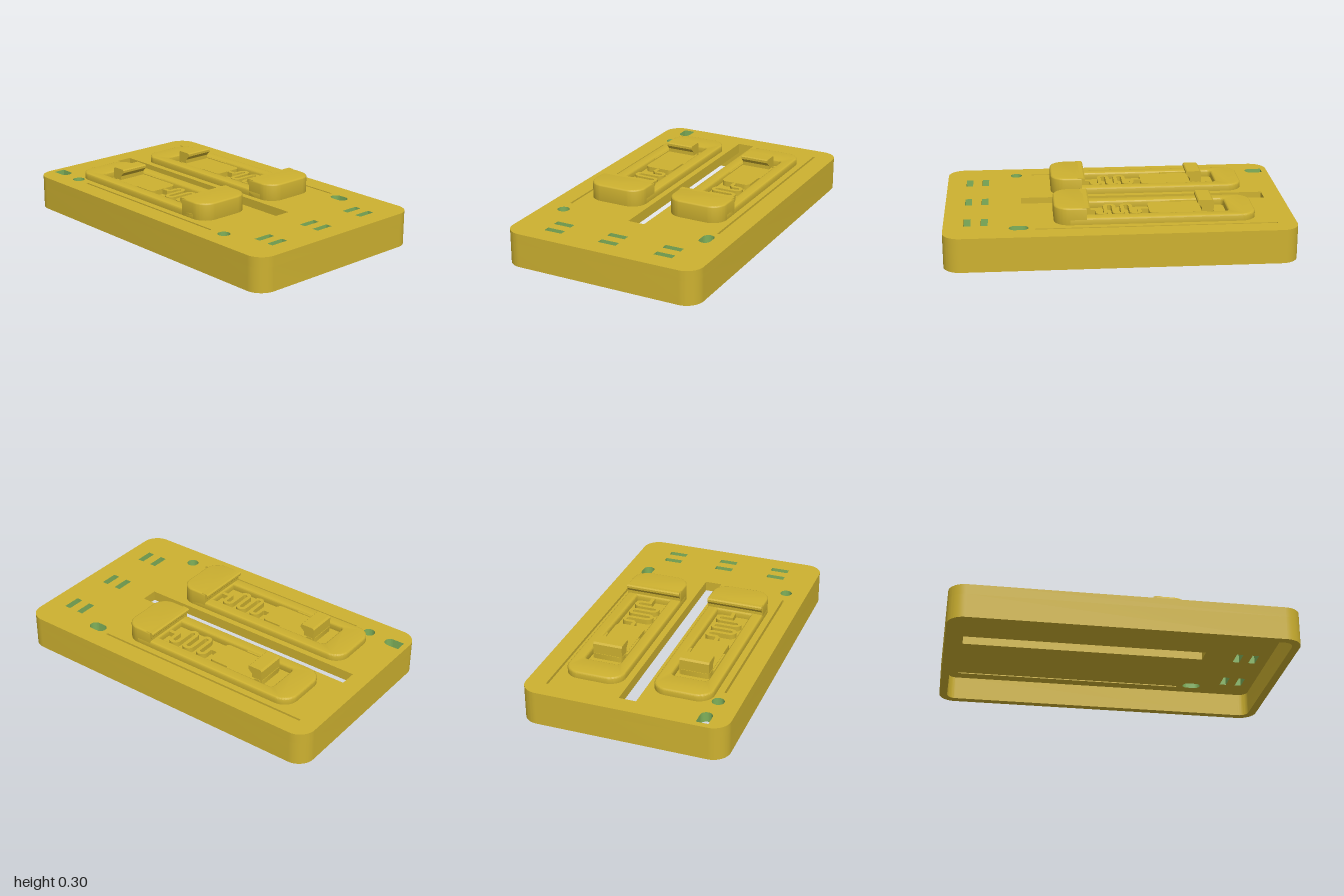
import * as THREE from 'three';
import { toCreasedNormals } from 'three/addons/utils/BufferGeometryUtils.js';

const mustard = new THREE.MeshStandardMaterial({ color: 0xcdb130 });
mustard.name = 'mustard';
const green = new THREE.MeshStandardMaterial({ color: 0x7fb05a });
green.name = 'green';

// Rounded rectangle in plan: x0..x1, z0..z1 (back to front), separate back and front corner radii.
// Shape y is -z, so that extrusions can be laid flat.
function plan(x0, x1, z0, z1, rBack = 0, rFront = rBack, C = THREE.Shape) {
  const s = new C();
  const t = -z0, b = -z1;
  s.moveTo(x0 + rFront, b);
  s.lineTo(x1 - rFront, b);
  if (rFront) s.absarc(x1 - rFront, b + rFront, rFront, -Math.PI / 2, 0, false);
  s.lineTo(x1, t - rBack);
  if (rBack) s.absarc(x1 - rBack, t - rBack, rBack, 0, Math.PI / 2, false);
  s.lineTo(x0 + rBack, t);
  if (rBack) s.absarc(x0 + rBack, t - rBack, rBack, Math.PI / 2, Math.PI, false);
  s.lineTo(x0, b + rFront);
  if (rFront) s.absarc(x0 + rFront, b + rFront, rFront, Math.PI, Math.PI * 1.5, false);
  return s;
}

// Extrude a plan shape from y0 up to y1, with an optional rounded edge
function slab(name, shape, y0, y1, bevel = 0, material = mustard) {
  const geo = new THREE.ExtrudeGeometry(shape, {
    depth: y1 - y0 - 2 * bevel, curveSegments: 10, bevelEnabled: bevel > 0,
    bevelThickness: bevel, bevelSize: bevel, bevelOffset: -bevel, bevelSegments: 3,
  });
  geo.rotateX(-Math.PI / 2).translate(0, y0 + bevel, 0);
  const mesh = new THREE.Mesh(toCreasedNormals(geo, 0.6), material);
  mesh.name = name;
  return mesh;
}

// Extrude a side profile of [z, y] points across x
function profile(name, points, width) {
  const shape = new THREE.Shape(points.map(([z, y]) => new THREE.Vector2(-z, y)));
  const geo = new THREE.ExtrudeGeometry(shape, { depth: width, bevelEnabled: false });
  geo.translate(0, 0, -width / 2).rotateY(Math.PI / 2);
  const mesh = new THREE.Mesh(geo, mustard);
  mesh.name = name;
  return mesh;
}

// Flat serpentine ribbon in plan
function springShape() {
  const rows = 6, pitch = 0.049, z0 = -0.122, half = 0.05, r = pitch / 2, w = 0.0115;
  const path = [[0, -0.2], [0, z0 - 0.012], [0.012, z0]];
  for (let i = 0; i < rows; i++) {
    const side = i % 2 ? -1 : 1, z = z0 + i * pitch;
    if (i === rows - 1) break;
    for (let k = 0; k <= 8; k++) {
      const a = (k / 8) * Math.PI;
      path.push([side * (half + r * Math.sin(a)), z + r - r * Math.cos(a)]);
    }
  }
  const zEnd = z0 + (rows - 1) * pitch;
  path.push([-0.012, zEnd], [0, zEnd + 0.012], [0, 0.2]);
  const left = [], right = [];
  path.forEach(([x, z], i) => {
    const a = path[Math.max(i - 1, 0)], b = path[Math.min(i + 1, path.length - 1)];
    const d = new THREE.Vector2(b[0] - a[0], b[1] - a[1]).normalize();
    left.push(new THREE.Vector2(x - d.y * w, -(z + d.x * w)));
    right.push(new THREE.Vector2(x + d.y * w, -(z - d.x * w)));
  });
  return new THREE.Shape([...left, ...right.reverse()]);
}

// One raised frame with its end stop, spring and sliding latch
function createLatch(x) {
  const g = new THREE.Group();
  g.name = 'latchUnit';
  const frame = plan(-0.172, 0.172, -0.78, 0.373, 0.09);
  frame.holes.push(plan(-0.105, 0.105, -0.625, 0.18, 0.025, 0, THREE.Path));
  g.add(slab('raisedFrame', frame, 0.185, 0.24, 0.01));

  // End stop with an undercut lip
  g.add(slab('endStop', plan(-0.172, 0.172, 0.19, 0.375, 0, 0.09), 0.19, 0.3, 0.01));
  g.add(profile('endStopLip',
    [[0.215, 0.3], [0.178, 0.3], [0.17, 0.293], [0.17, 0.28], [0.19, 0.258], [0.19, 0.235], [0.215, 0.235]], 0.338));

  // Sliding tongue and its hooked catch
  g.add(slab('slidingTongue', plan(-0.09, 0.09, -0.545, -0.175, 0.02, 0.03), 0.195, 0.232));
  g.add(profile('hookedCatch',
    [[-0.542, 0.2], [-0.542, 0.29], [-0.532, 0.3], [-0.456, 0.3], [-0.45, 0.294], [-0.45, 0.28],
      [-0.475, 0.255], [-0.475, 0.2]], 0.174));
  g.add(slab('spring', springShape(), 0.195, 0.23));

  // Slim guides beside the tongue
  for (const s of [-1, 1]) {
    g.add(slab('tongueGuide', plan(s * 0.099 - 0.006, s * 0.099 + 0.006, -0.5, -0.31), 0.195, 0.235));
  }
  g.position.x = x;
  return g;
}

export function createModel() {
  const model = new THREE.Group();
  model.name = 'mountingPlate';

  // Small holes: x0, x1, z0, z1, back radius, front radius
  const holes = [
    [-0.49, -0.42, -0.965, -0.86, 0, 0.0345],
    [-0.504, -0.434, -0.775, -0.705, 0.0345, 0.0345],
    [-0.504, -0.434, 0.545, 0.615, 0.0345, 0.0345],
    [0.415, 0.483, 0.52, 0.63, 0.0335, 0.0335],
  ];
  for (const x of [-0.345, 0, 0.345]) {
    for (const z of [0.768, 0.865]) holes.push([x - 0.055, x + 0.055, z - 0.02, z + 0.02, 0, 0]);
  }
  // Long through slots
  const slots = [
    [-0.053, 0.048, -0.89, 0.557],
    [-0.485, -0.472, -0.645, 0.485],
    [0.468, 0.481, -0.89, 0.485],
  ];

  // Top plate, with coloured hole linings
  const t = 0.004;
  const top = plan(-0.597, 0.597, -1, 1, 0.1);
  for (const s of slots) top.holes.push(plan(...s, 0, 0, THREE.Path));
  for (const [x0, x1, z0, z1, rb, rf] of holes) {
    const outer = [x0 - t, x1 + t, z0 - t, z1 + t, rb && rb + t, rf && rf + t];
    top.holes.push(plan(...outer, THREE.Path));
    const ring = plan(...outer);
    ring.holes.push(plan(x0, x1, z0, z1, rb, rf, THREE.Path));
    model.add(slab('holeLining', ring, 0.14, 0.2, 0, [mustard, green]));
  }
  model.add(slab('topPlate', top, 0.14, 0.2));

  // Skirt around the hollow underside
  const skirt = plan(-0.597, 0.597, -1, 1, 0.1);
  skirt.holes.push(plan(-0.55, 0.55, -0.953, 0.953, 0.055, 0.055, THREE.Path));
  model.add(slab('skirtWall', skirt, 0, 0.14));

  for (const x of [-0.261, 0.258]) model.add(createLatch(x));
  return model;
}
